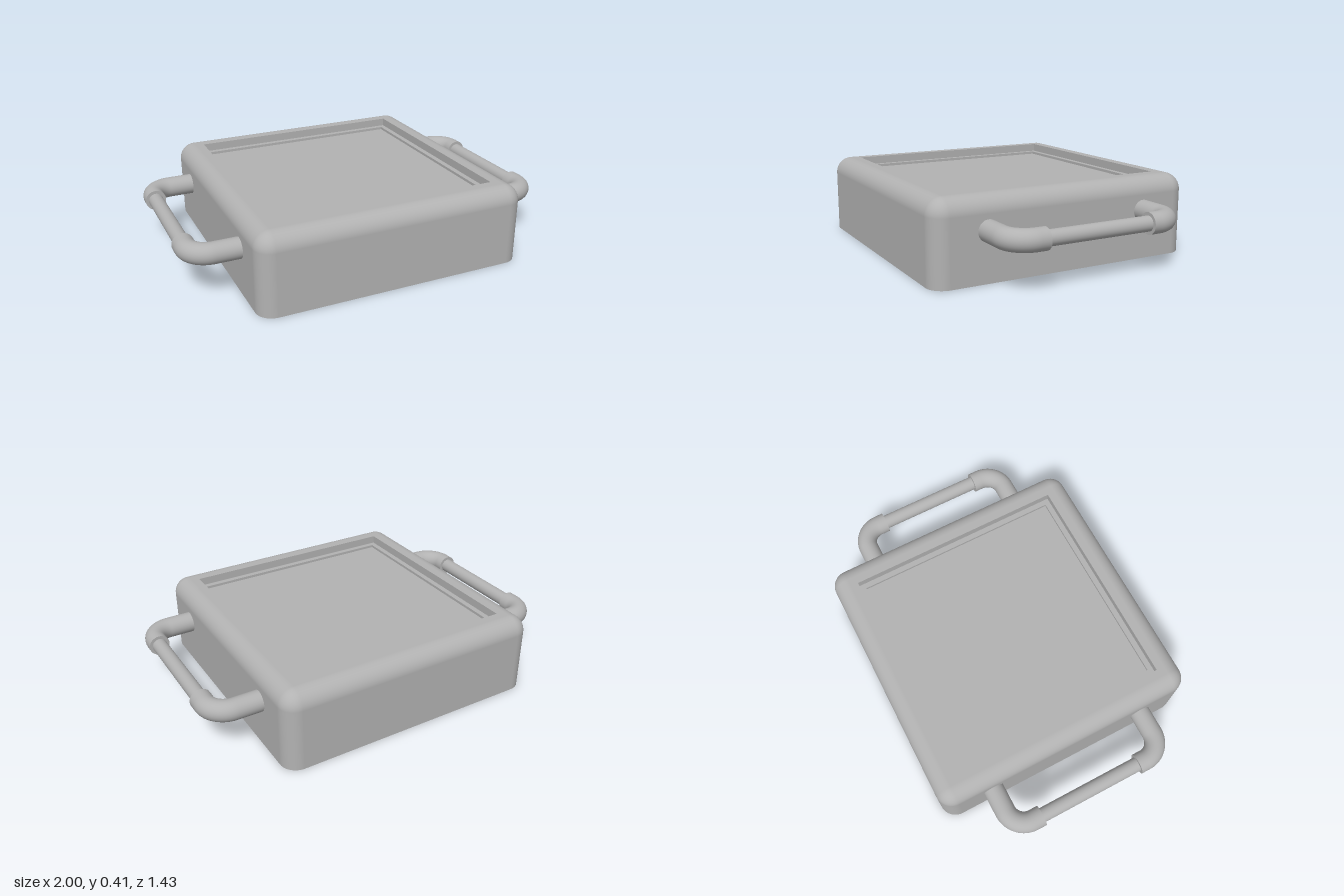
import * as THREE from 'three';

const CORE = 0.628; // square core that the corner rounding grows from
const CORNER_STEPS = 12;

// One strip between two rounded-square rings [half width, height, normal tilt]
function addStrip(data, a, b) {
  const start = data.pos.length / 3;
  const count = 4 * (CORNER_STEPS + 1);
  for (const [half, y, tilt] of [a, b]) {
    const inner = Math.min(half, CORE), r = half - inner;
    for (let q = 0; q < 4; q++) {
      const mid = (q + 0.5) * Math.PI / 2;
      for (let i = 0; i <= CORNER_STEPS; i++) {
        const t = (q + i / CORNER_STEPS) * Math.PI / 2;
        data.pos.push(Math.sign(Math.cos(mid)) * inner + r * Math.cos(t), y,
          Math.sign(Math.sin(mid)) * inner + r * Math.sin(t));
        data.norm.push(Math.cos(t) * Math.cos(tilt), Math.sin(tilt), Math.sin(t) * Math.cos(tilt));
      }
    }
  }
  for (let j = 0; j < count; j++) {
    const a0 = start + j, a1 = start + (j + 1) % count;
    data.index.push(a0, a0 + count, a1, a1, a0 + count, a1 + count);
  }
}

function bodyGeometry() {
  const data = { pos: [], norm: [], index: [] };
  const up = Math.PI / 2, inward = Math.PI;
  const R = 0.086, H = 0.414;
  addStrip(data, [0, 0, -up], [CORE + R, 0, -up]);               // underside
  addStrip(data, [CORE + R, 0, 0], [CORE + R, H - R, 0]);        // sides
  const fillet = t => [CORE + R * Math.cos(t), H - R + R * Math.sin(t), t];
  for (let i = 0; i < 12; i++) addStrip(data, fillet(up * i / 12), fillet(up * (i + 1) / 12));
  addStrip(data, [CORE, H, up], [0.586, H, up]);                 // rim
  addStrip(data, [0.586, H, inward], [0.586, 0.371, inward]);    // recess wall
  addStrip(data, [0.586, 0.371, up], [0.557, 0.371, up]);        // ledge
  addStrip(data, [0.557, 0.371, inward], [0.557, 0.357, inward]); // small step
  addStrip(data, [0.557, 0.357, up], [0, 0.357, up]);            // recessed panel
  const geo = new THREE.BufferGeometry();
  geo.setAttribute('position', new THREE.Float32BufferAttribute(data.pos, 3));
  geo.setAttribute('normal', new THREE.Float32BufferAttribute(data.norm, 3));
  geo.setIndex(data.index);
  return geo;
}

export function createModel() {
  const grey = new THREE.MeshStandardMaterial({ color: 0xb2b2b2 });
  grey.name = 'grey';
  const model = new THREE.Group();
  model.name = 'tray';
  const add = (parent, name, geo) => {
    const mesh = new THREE.Mesh(geo, grey);
    mesh.name = name;
    parent.add(mesh);
    return mesh;
  };
  add(model, 'body', bodyGeometry());

  // Handles: two bent sockets joined by a thinner bar
  const X = 0.946, Z = 0.436, END = 0.281, TUBE = 0.054, BEND = 0.107, K = BEND * 0.4477;
  for (const side of ['left', 'right']) {
    const handle = new THREE.Group();
    handle.name = side + 'Handle';
    handle.position.y = 0.249;
    if (side === 'right') handle.rotation.y = Math.PI;
    model.add(handle);

    for (const s of [1, -1]) {
      const p = (x, z) => new THREE.Vector3(x, 0, s * z);
      const path = new THREE.CurvePath();
      path.add(new THREE.LineCurve3(p(0.69, Z), p(X - BEND, Z)));
      path.add(new THREE.CubicBezierCurve3(p(X - BEND, Z), p(X - K, Z), p(X, Z - K), p(X, Z - BEND)));
      path.add(new THREE.LineCurve3(p(X, Z - BEND), p(X, END)));
      add(handle, 'elbow', new THREE.TubeGeometry(path, 48, TUBE, 32));
      const cap = add(handle, 'elbowEnd', new THREE.CircleGeometry(TUBE, 32));
      cap.position.set(X, 0, s * END);
      if (s > 0) cap.rotation.y = Math.PI;
    }

    const bar = add(handle, 'bar', new THREE.CylinderGeometry(0.038, 0.038, 2 * END + 0.02, 32));
    bar.rotation.x = Math.PI / 2;
    bar.position.x = X;
  }
  return model;
}
